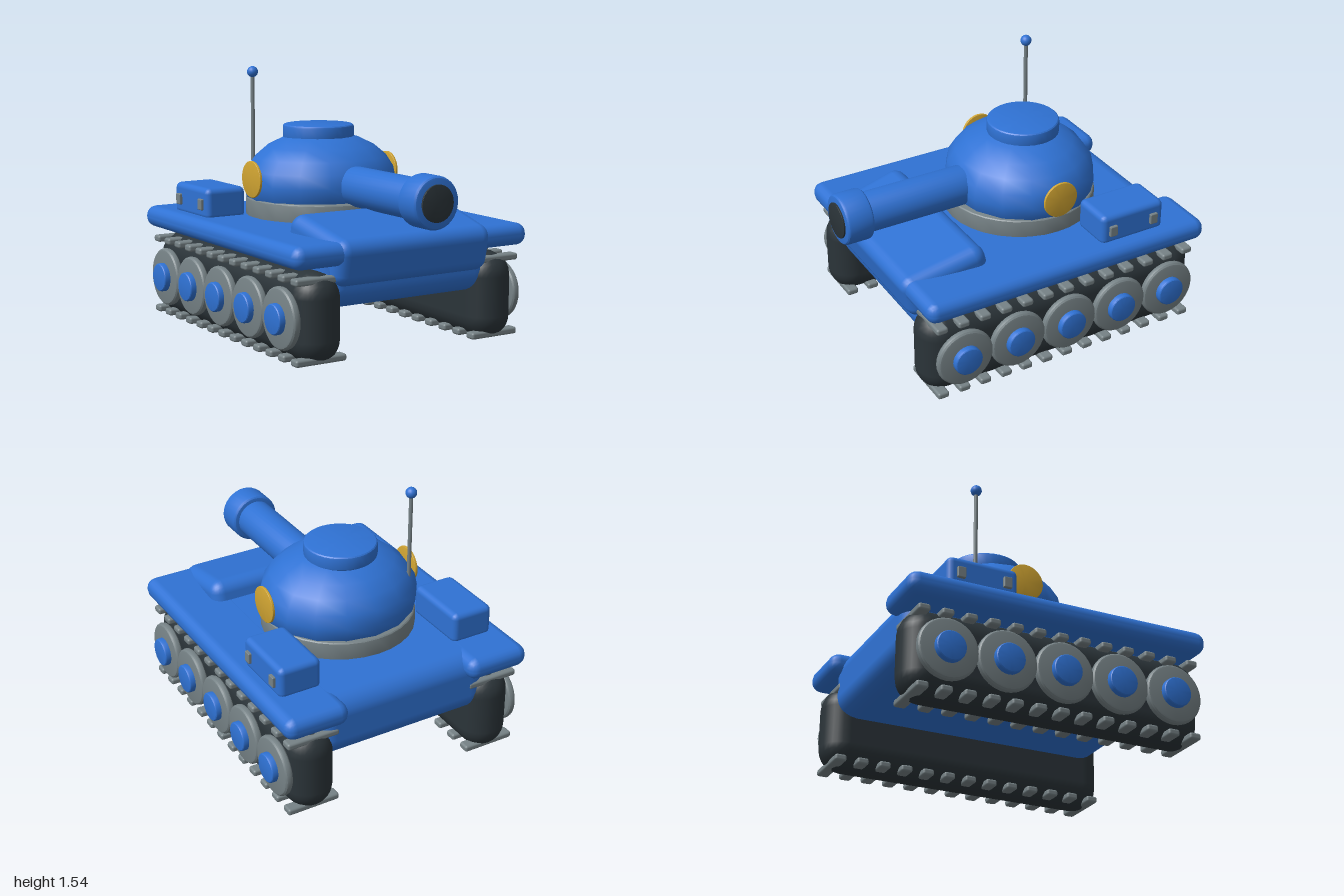
import * as THREE from 'three';
import { RoundedBoxGeometry } from 'three/addons/geometries/RoundedBoxGeometry.js';
import { toCreasedNormals } from 'three/addons/utils/BufferGeometryUtils.js';

const mat = (name, color) => {
  const m = new THREE.MeshStandardMaterial({ color });
  m.name = name;
  return m;
};

export function createModel() {
  const blue = mat('blue paint', 0x2f72d4);
  const grey = mat('grey metal', 0x768286);
  const dark = mat('dark rubber', 0x2b3439);
  const gold = mat('gold', 0xd0a432);

  const tank = new THREE.Group();
  tank.name = 'tank';

  const add = (name, geometry, material, x, y, z, parent = tank) => {
    const mesh = new THREE.Mesh(geometry, material);
    mesh.name = name;
    mesh.position.set(x, y, z);
    parent.add(mesh);
    return mesh;
  };
  const box = (w, h, d, r, seg = 2) => new RoundedBoxGeometry(w, h, d, seg, r);

  // Disc along y with rounded rims
  const disc = (radius, width, bevel, sides = 32) => {
    const pts = [new THREE.Vector2(0, -width / 2)];
    for (const end of [-1, 1]) {
      for (let i = 0; i <= 3; i++) {
        const a = (end < 0 ? i - 3 : i) * Math.PI / 6;
        pts.push(new THREE.Vector2(
          radius - bevel + bevel * Math.cos(a),
          end * (width / 2 - bevel) + bevel * Math.sin(a)));
      }
    }
    pts.push(new THREE.Vector2(0, width / 2));
    return toCreasedNormals(new THREE.LatheGeometry(pts, sides), 0.45);
  };
  const alongX = (g) => g.rotateZ(Math.PI / 2);
  const alongZ = (g) => g.rotateX(Math.PI / 2);

  // Hull and sloped front plate, which narrows toward the nose
  add('hull', box(1.12, 0.38, 1.69, 0.12, 3), blue, 0, 0.48, -0.085);
  const plate = box(1.06, 0.27, 0.52, 0.075, 3);
  const p = plate.attributes.position;
  for (let i = 0; i < p.count; i++) p.setX(i, p.getX(i) * (1 - 0.13 * p.getZ(i)));
  add('frontPlate', plate, blue, 0, 0.595, 0.565).rotation.x = 0.23;

  // Running gear, fenders and stowage on each side
  const trackGeo = box(0.28, 0.51, 1.79, 0.138, 3);
  const shoeGeo = box(0.32, 0.04, 0.07, 0.014);
  const wheelGeo = alongX(disc(0.175, 0.05, 0.022));
  const hubGeo = alongX(disc(0.086, 0.06, 0.012, 24));
  const fenderGeo = box(0.39, 0.13, 1.82, 0.06);
  const stowageGeo = box(0.26, 0.19, 0.42, 0.035);
  const latchGeo = box(0.03, 0.065, 0.05, 0.006, 1);
  const emblemGeo = alongX(disc(0.108, 0.016, 0.004));

  for (const s of [1, -1]) {
    const side = new THREE.Group();
    side.name = s > 0 ? 'leftSide' : 'rightSide';
    tank.add(side);
    add('track', trackGeo, dark, s * 0.58, 0.255, -0.085, side);
    for (let i = 0; i < 13; i++) {
      const z = 0.73 - i * 0.1358;
      add('lowerTrackShoe', shoeGeo, grey, s * 0.587, 0.035, z, side);
      add('upperTrackShoe', shoeGeo, grey, s * 0.587, 0.472, z, side);
    }
    for (let i = 0; i < 5; i++) {
      const z = 0.595 - i * 0.34;
      add('roadWheel', wheelGeo, grey, s * 0.74, 0.255, z, side);
      add('wheelHub', hubGeo, blue, s * 0.772, 0.255, z, side);
    }
    add('fender', fenderGeo, blue, s * 0.586, 0.606, -0.09, side);
    add('stowageBox', stowageGeo, blue, s * 0.562, 0.745, -0.54, side);
    for (const z of [-0.4, -0.675])
      add('stowageLatch', latchGeo, grey, s * 0.695, 0.743, z, side);
    add('turretDisc', emblemGeo, gold, s * 0.475, 0.9, -0.18, side);
  }

  // Turret
  add('turretRing', disc(0.45, 0.13, 0.015), grey, 0, 0.71, -0.185);
  const dome = add('turretDome', new THREE.SphereGeometry(1, 16, 12), blue, 0, 0.86, -0.19);
  dome.scale.set(0.468, 0.3, 0.437);
  add('hatch', disc(0.212, 0.09, 0.016), blue, 0, 1.155, -0.212);

  // Gun
  add('gunBarrel', alongZ(disc(0.117, 0.8, 0.01)), blue, 0, 0.868, 0.48);
  add('muzzle', alongZ(disc(0.149, 0.165, 0.02)), blue, 0, 0.868, 0.908);
  add('muzzleBore', alongZ(disc(0.104, 0.02, 0.002)), dark, 0, 0.868, 0.99);

  // Antenna
  add('antennaRod', new THREE.CylinderGeometry(0.012, 0.012, 0.52, 10), grey, -0.328, 1.24, -0.425);
  add('antennaTip', new THREE.SphereGeometry(0.033, 16, 12), blue, -0.328, 1.508, -0.425);

  return tank;
}
